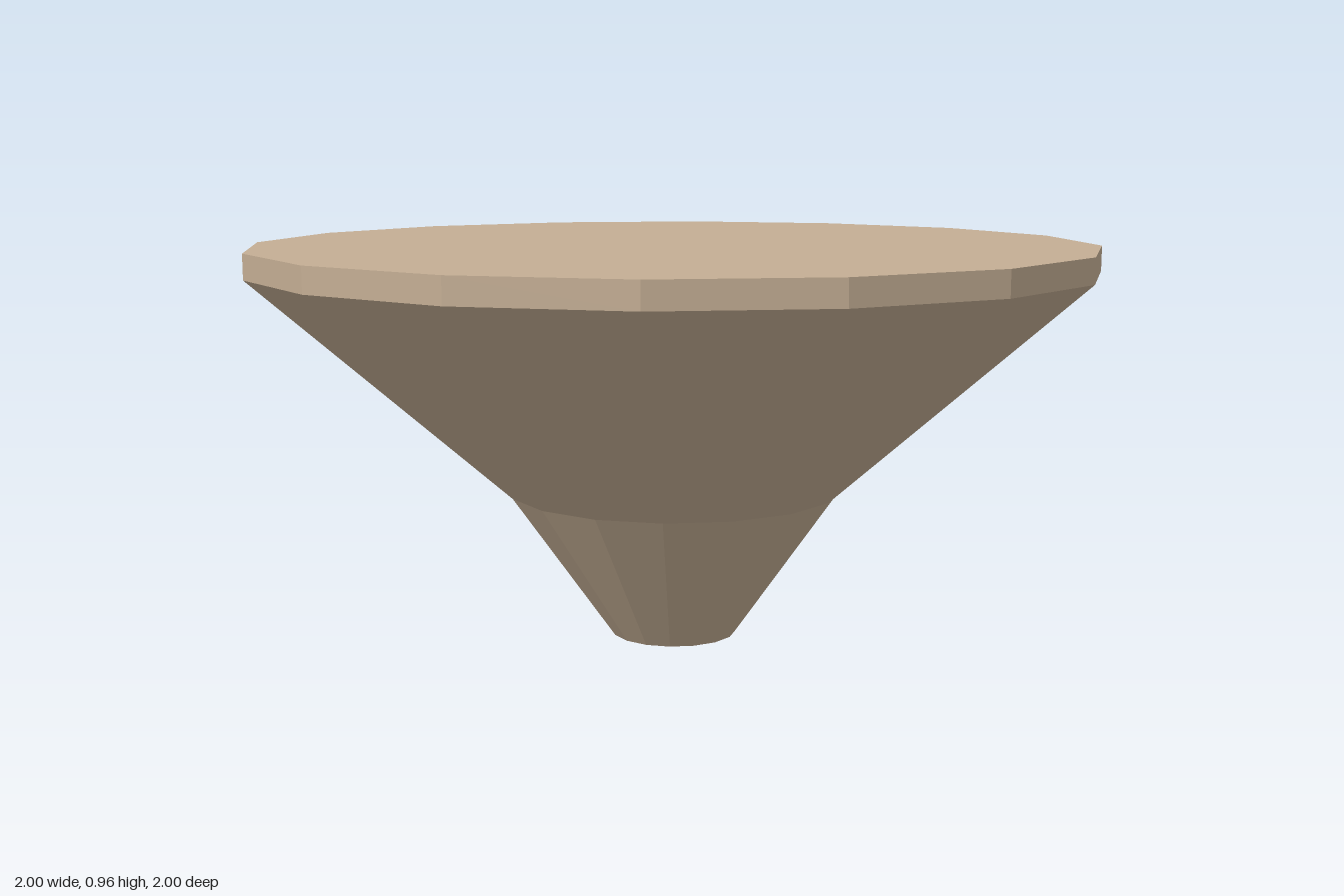
import * as THREE from 'three';

const SIDES = 16;
// Convert distance across flats to corner radius
const corner = (flat) => flat / Math.cos(Math.PI / SIDES);

export function createModel() {
  const group = new THREE.Group();
  group.name = 'taperedPedestal';
  const material = new THREE.MeshStandardMaterial({ color: 0xc4ae94, flatShading: true });

  // Faceted ring from a bottom-to-top profile of [flat radius, height],
  // turned half a step so flats face the axes
  const addPart = (name, profile) => {
    const points = profile.map(([r, y]) => new THREE.Vector2(corner(r), y));
    const mesh = new THREE.Mesh(new THREE.LatheGeometry(points, SIDES, Math.PI / SIDES), material);
    mesh.name = name;
    group.add(mesh);
  };

  // Narrow foot with closed underside
  addPart('foot', [[0, 0], [0.15, 0], [0.4, 0.36]]);
  // Wide flare up to the rim
  addPart('flare', [[0.4, 0.36], [1, 0.9]]);
  // Upright rim and flat top
  addPart('topSlab', [[1, 0.9], [1, 0.96], [0, 0.96]]);

  return group;
}
